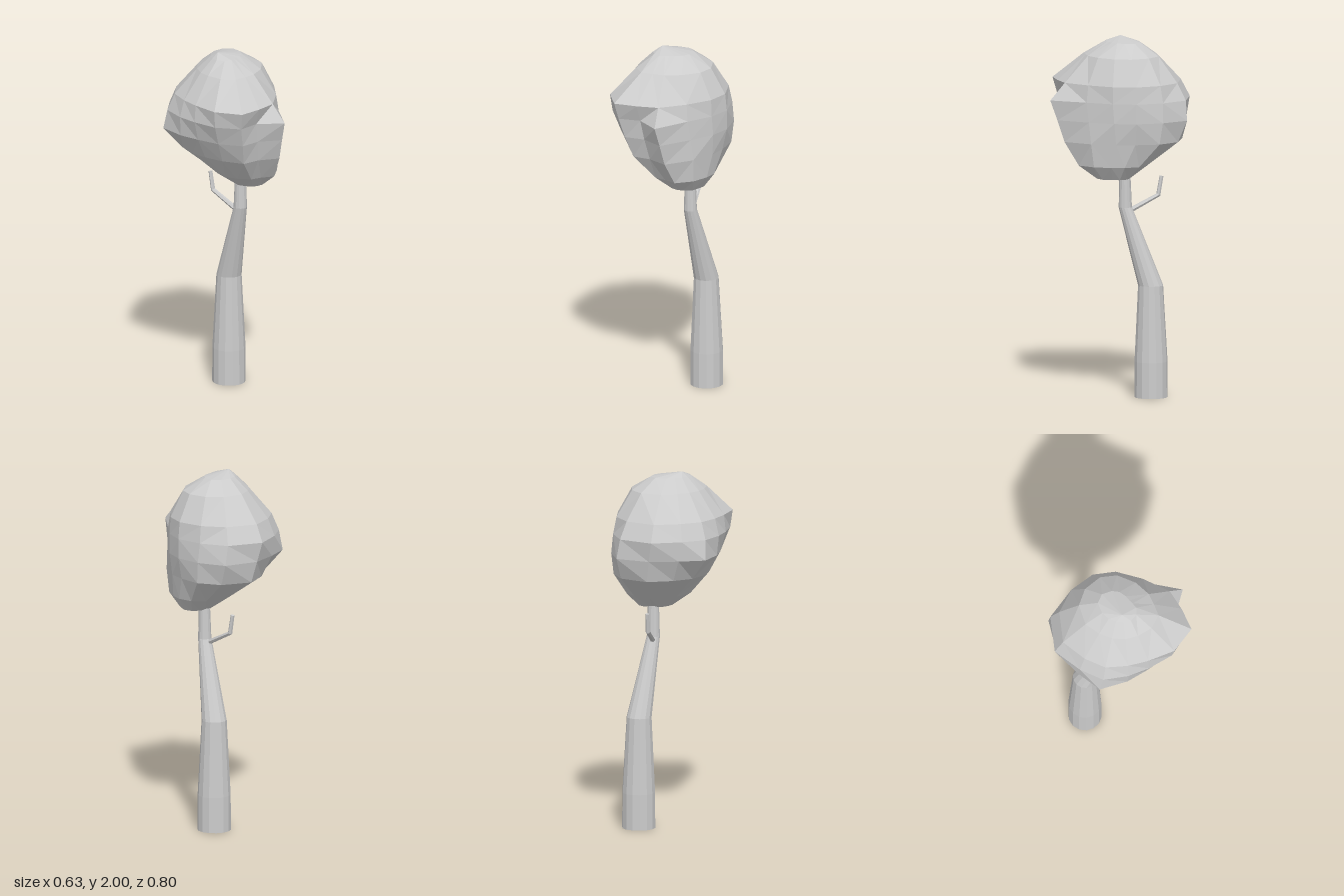
import * as THREE from 'three';

const material = new THREE.MeshStandardMaterial({ color: 0xcccccc, flatShading: true, side: THREE.DoubleSide });

// Skin a stack of rings (lowest first) into a faceted surface, with optional end points.
function loft(name, rings, bottom, top) {
  const pos = [];
  const tri = (...pts) => pts.forEach((p) => pos.push(p.x, p.y, p.z));
  const n = rings[0].length;
  for (let j = 0; j < n; j++) {
    const k = (j + 1) % n;
    for (let i = 0; i < rings.length - 1; i++) {
      const [lo, hi] = [rings[i], rings[i + 1]];
      // split each cell along its shorter diagonal
      if (lo[k].distanceTo(hi[j]) < lo[j].distanceTo(hi[k])) {
        tri(lo[j], hi[j], lo[k]);
        tri(lo[k], hi[j], hi[k]);
      } else {
        tri(lo[j], hi[k], lo[k]);
        tri(lo[j], hi[j], hi[k]);
      }
    }
    const last = rings[rings.length - 1];
    if (bottom) tri(bottom, rings[0][j], rings[0][k]);
    if (top) tri(top, last[k], last[j]);
  }
  const geo = new THREE.BufferGeometry();
  geo.setAttribute('position', new THREE.Float32BufferAttribute(pos, 3));
  geo.computeVertexNormals();
  const mesh = new THREE.Mesh(geo, material);
  mesh.name = name;
  return mesh;
}

// Round ring about a centre, leaning by tilt degrees around x.
function circle([x, y, z], radius, sides, tilt = 0) {
  return Array.from({ length: sides }, (_, j) => {
    const a = (j / sides) * Math.PI * 2;
    return new THREE.Vector3(Math.cos(a) * radius, 0, Math.sin(a) * radius)
      .applyAxisAngle(new THREE.Vector3(1, 0, 0), THREE.MathUtils.degToRad(tilt))
      .add(new THREE.Vector3(x, y, z));
  });
}

// Directions (degrees from +x towards +z) of the crown's ridges and hollows.
const angles = [0, 25, 58, 90, 111, 130, 154, 180, 203, 228, 252, 278, 308, 333];

// Crown rings: height, centre x, centre z, radius along each direction.
const crownRings = [
  [1.225, 0.1, 0.06, [0.1, 0.09, 0.1, 0.1, 0.1, 0.1, 0.09, 0.09, 0.08, 0.08, 0.08, 0.08, 0.09, 0.1]],
  [1.3, 0.08, 0.05, [0.175, 0.165, 0.18, 0.21, 0.18, 0.19, 0.18, 0.175, 0.17, 0.17, 0.175, 0.19, 0.19, 0.19]],
  [1.43, 0.04, 0, [0.25, 0.24, 0.26, 0.33, 0.28, 0.31, 0.265, 0.245, 0.255, 0.28, 0.3, 0.345, 0.335, 0.3]],
  [1.55, 0.02, 0, [0.295, 0.27, 0.27, 0.365, 0.3, 0.345, 0.31, 0.29, 0.315, 0.375, 0.35, 0.375, 0.395, 0.335]],
  [1.66, 0, 0, [0.315, 0.285, 0.28, 0.4, 0.305, 0.365, 0.335, 0.3, 0.305, 0.34, 0.35, 0.4, 0.395, 0.345]],
  [1.755, 0, 0, [0.305, 0.28, 0.265, 0.315, 0.34, 0.395, 0.35, 0.29, 0.28, 0.3, 0.31, 0.35, 0.345, 0.325]],
  [1.9, 0, 0, [0.225, 0.205, 0.18, 0.18, 0.185, 0.21, 0.2, 0.18, 0.175, 0.175, 0.185, 0.215, 0.235, 0.235]],
  [1.972, 0, 0, [0.1, 0.08, 0.06, 0.055, 0.065, 0.085, 0.1, 0.105, 0.1, 0.1, 0.105, 0.115, 0.13, 0.125]],
];

export function createModel() {
  const tree = new THREE.Group();
  tree.name = 'tree';

  // Bent, tapering trunk, open at the base
  tree.add(loft('trunk', [
    circle([0.167, 0, -0.133], 0.093, 14),
    circle([0.167, 0.2, -0.133], 0.092, 14),
    circle([0.165, 0.625, -0.131], 0.07, 14),
    circle([0.106, 1.06, -0.003], 0.037, 14),
    circle([0.106, 1.28, 0], 0.03, 14),
  ]));

  // Small crooked twig behind the trunk
  const tip = [0.105, 1.225, -0.215];
  tree.add(loft('twig', [
    circle([0.105, 1.035, -0.02], 0.015, 6, -62),
    circle([0.105, 1.12, -0.196], 0.013, 6, -35),
    circle(tip, 0.011, 6, -12),
  ], null, new THREE.Vector3(...tip)));

  // Lumpy faceted crown
  const rings = crownRings.map(([y, cx, cz, radii]) => radii.map((r, j) => {
    const a = THREE.MathUtils.degToRad(angles[j]);
    return new THREE.Vector3(cx + r * Math.cos(a), y, cz + r * Math.sin(a));
  }));
  tree.add(loft('crown', rings, new THREE.Vector3(0.1, 1.215, 0.07), new THREE.Vector3(-0.06, 2, -0.03)));

  return tree;
}
